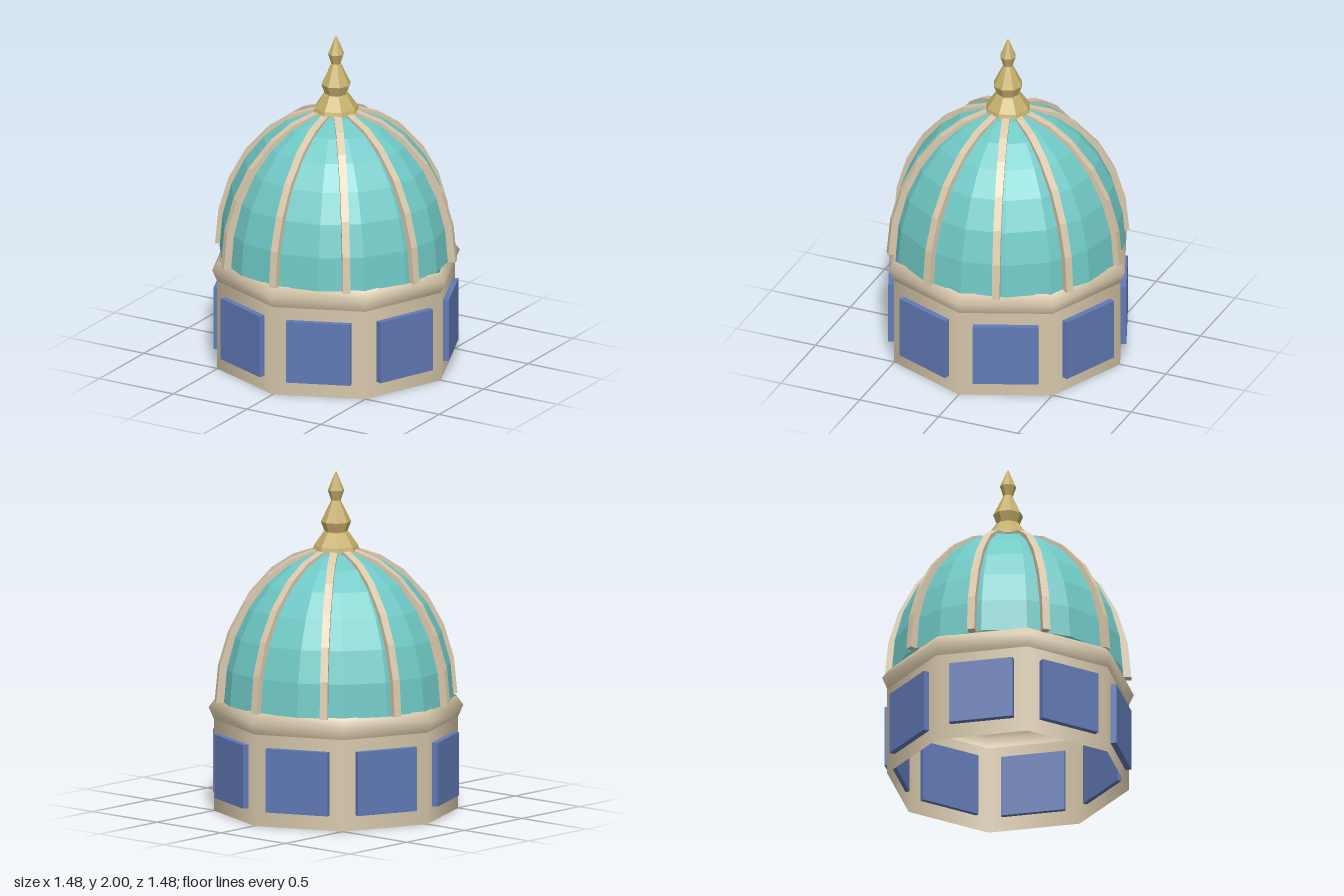
import * as THREE from 'three';

const mat = (name, color, extra = {}) => {
  const m = new THREE.MeshStandardMaterial({ color, ...extra });
  m.name = name;
  return m;
};
const v2 = (pts) => pts.map(([x, y]) => new THREE.Vector2(x, y));

export function createModel() {
  const stone = mat('stone', 0xd9c9ac, { side: THREE.DoubleSide });
  const teal = mat('teal roof', 0x6fc8c5, { side: THREE.DoubleSide, flatShading: true });
  const blue = mat('blue glass', 0x6079b5);
  const gold = mat('gold', 0xc6b06c, { flatShading: true });

  const model = new THREE.Group();
  model.name = 'domedTower';
  const add = (name, geometry, material, parent = model) => {
    const mesh = new THREE.Mesh(geometry, material);
    mesh.name = name;
    parent.add(mesh);
    return mesh;
  };

  // Open octagonal drum with a flared cornice
  add('drum', new THREE.LatheGeometry(v2([[0.71, 0], [0.71, 0.54]]), 8), stone);
  add('cornice', new THREE.LatheGeometry(v2([[0.71, 0.54], [0.74, 0.61], [0.70, 0.665]]), 8), stone);

  // One window panel set through each drum wall
  const windows = new THREE.Group();
  windows.name = 'windows';
  model.add(windows);
  const panel = new THREE.BoxGeometry(0.38, 0.375, 0.06);
  for (let i = 0; i < 8; i++) {
    const a = (i + 0.5) * Math.PI / 4;
    const w = add('window', panel, blue, windows);
    w.position.set(Math.sin(a) * 0.661, 0.278, Math.cos(a) * 0.661);
    w.rotation.y = a;
  }

  // Elliptical arc shared by the dome and its ribs
  const base = 0.66;
  const arc = (a, h, angles) => angles.map((d) => {
    const t = d * Math.PI / 180;
    return [a * Math.cos(t), base + h * Math.sin(t)];
  });

  // Dome shell
  add('dome', new THREE.LatheGeometry(
    v2(arc(0.683, 0.88, [0, 13, 26, 39, 52, 65, 78, 90])), 16), teal);

  // Ten ribs following the dome
  const steps = [0, 14, 27.5, 41, 56, 68, 81];
  const outline = [...arc(0.716, 0.895, steps), ...arc(0.67, 0.86, steps).reverse()];
  const ribGeometry = new THREE.ExtrudeGeometry(new THREE.Shape(v2(outline)),
    { depth: 0.045, bevelEnabled: false });
  ribGeometry.translate(0, 0, -0.0225);
  const ribs = new THREE.Group();
  ribs.name = 'ribs';
  model.add(ribs);
  for (let i = 0; i < 10; i++) {
    add('rib', ribGeometry, stone, ribs).rotation.y = i * Math.PI / 5 + Math.PI / 2;
  }

  // Stacked finial
  add('finial', new THREE.LatheGeometry(v2([
    [0, 1.53], [0.136, 1.535], [0.128, 1.56], [0.073, 1.64], [0.066, 1.642], [0.088, 1.7],
    [0.028, 1.825], [0.048, 1.885], [0, 2],
  ]), 8), gold);

  return model;
}
